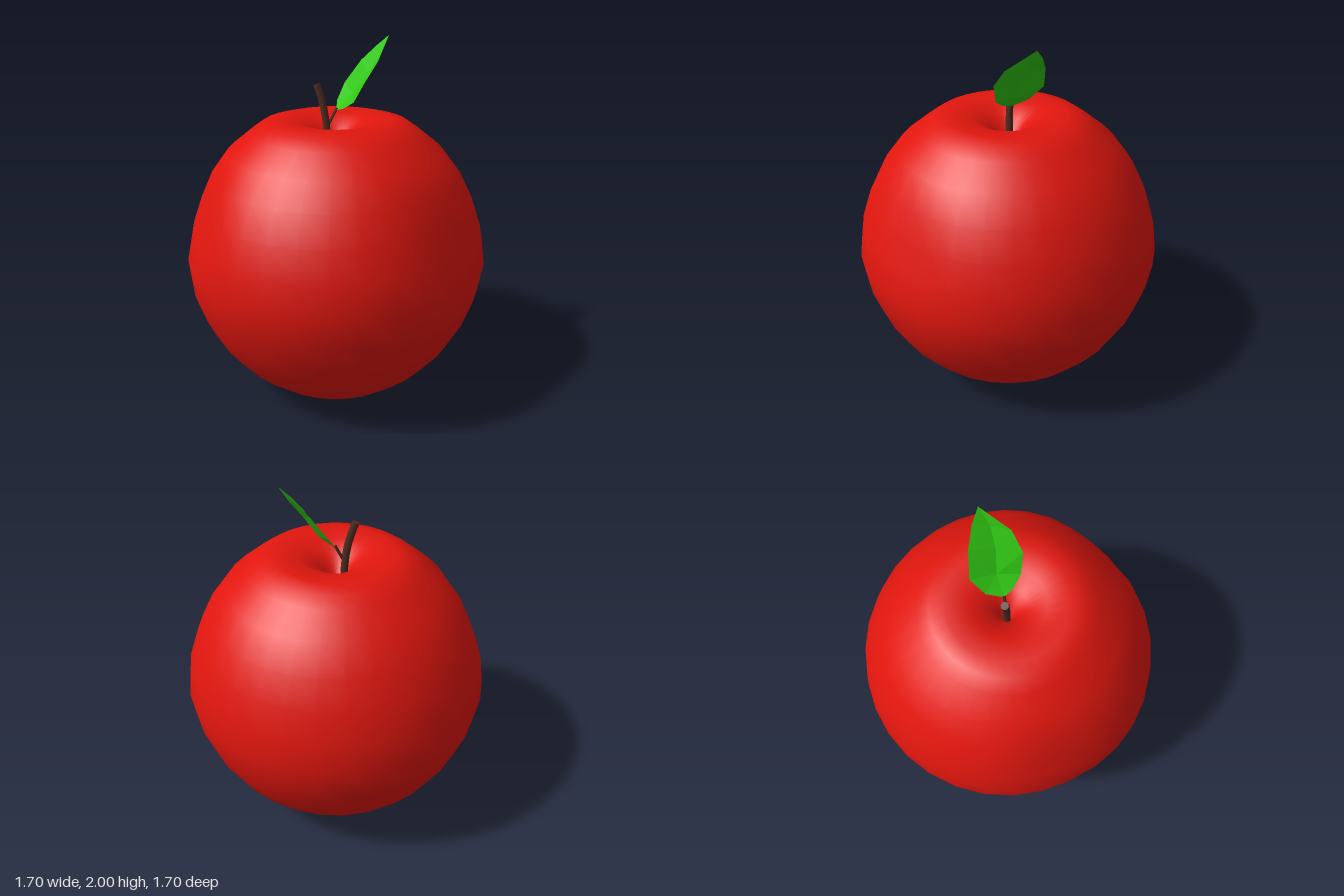
import * as THREE from 'three';
import { mergeVertices } from 'three/addons/utils/BufferGeometryUtils.js';

const V = (x, y, z) => new THREE.Vector3(x, y, z);

function part(name, geometry, color, options = {}) {
  const mesh = new THREE.Mesh(geometry, new THREE.MeshStandardMaterial({ color, ...options }));
  mesh.name = name;
  return mesh;
}

// Round body: a lathe with a dimple at both ends and two soft flat spots
function fruitGeometry() {
  const profile = [
    [0, 0.13], [0.05, 0.11], [0.1, 0.08], [0.2, 0.03], [0.32, 0.003], [0.45, 0.075], [0.58, 0.185],
    [0.69, 0.32], [0.77, 0.47], [0.825, 0.63], [0.85, 0.79], [0.825, 0.96], [0.77, 1.12],
    [0.695, 1.27], [0.595, 1.4], [0.465, 1.505], [0.4, 1.55], [0.32, 1.57], [0.2, 1.555],
    [0.1, 1.5], [0.04, 1.42], [0, 1.37],
  ].map(([r, y]) => new THREE.Vector2(r, y));
  let geo = new THREE.LatheGeometry(profile, 32);
  geo.deleteAttribute('normal');
  geo.deleteAttribute('uv');
  geo = mergeVertices(geo, 1e-4);

  const centre = V(0, 0.79, 0), p = V(0, 0, 0);
  const flatSpots = [V(-0.8, 0.33, 0.5).normalize(), V(0.8, 0.33, 0.5).normalize()];
  const pos = geo.attributes.position;
  for (let i = 0; i < pos.count; i++) {
    p.fromBufferAttribute(pos, i).sub(centre);
    const dir = p.clone().normalize();
    for (const spot of flatSpots) {
      p.addScaledVector(dir, -0.045 * Math.exp(-((dir.angleTo(spot) / 0.28) ** 2)));
    }
    p.add(centre);
    pos.setXYZ(i, p.x, p.y, p.z);
  }
  geo.computeVertexNormals();
  return geo;
}

// Leaf: rows of [front edge, midrib, back edge] between base and tip, folded along the midrib
function leafGeometry() {
  const base = [0, 1.61, -0.02], tip = [0.255, 2, -0.18];
  const rows = [
    [base, base, base],
    [[0.05, 1.63, 0.02], [0.03, 1.64, -0.04], [-0.015, 1.65, -0.11]],
    [[0.11, 1.67, 0.045], [0.08, 1.695, -0.07], [0.01, 1.735, -0.19]],
    [[0.17, 1.78, 0.045], [0.155, 1.805, -0.085], [0.1, 1.86, -0.205]],
    [[0.225, 1.88, -0.02], [0.22, 1.905, -0.12], [0.19, 1.945, -0.2]],
    [tip, tip, tip],
  ];
  const index = [];
  for (let r = 0; r < rows.length - 1; r++) {
    for (let c = 0; c < 2; c++) {
      const a = r * 3 + c, b = a + 1, d = a + 3, e = a + 4;
      if (r > 0) index.push(a, b, d);
      if (r === 0) index.push(a, e, d);
      else if (r < rows.length - 2) index.push(b, e, d);
    }
  }
  const geo = new THREE.BufferGeometry();
  geo.setAttribute('position', new THREE.Float32BufferAttribute(rows.flat(2), 3));
  geo.setIndex(index);
  geo.computeVertexNormals();
  return geo;
}

export function createModel() {
  const model = new THREE.Group();
  model.name = 'apple';
  const brown = 0x4f2c20;

  model.add(part('fruit', fruitGeometry(), 0xe0160e));

  // Curved stem with a flat cut end
  const stemPath = new THREE.CatmullRomCurve3([
    V(-0.04, 1.36, 0), V(-0.052, 1.55, 0), V(-0.073, 1.66, 0), V(-0.103, 1.75, 0),
  ]);
  model.add(part('stem', new THREE.TubeGeometry(stemPath, 6, 0.02, 8), brown));
  const cut = part('stemEnd', new THREE.CircleGeometry(0.02, 8), brown);
  cut.position.copy(stemPath.getPoint(1));
  cut.lookAt(cut.position.clone().add(stemPath.getTangent(1)));
  model.add(cut);

  // Thin stalk joining the leaf to the stem
  const stalkPath = new THREE.CatmullRomCurve3([
    V(-0.05, 1.51, 0), V(-0.022, 1.57, -0.01), V(0.004, 1.625, -0.022),
  ]);
  model.add(part('leafStalk', new THREE.TubeGeometry(stalkPath, 4, 0.008, 6), brown));

  model.add(part('leaf', leafGeometry(), 0x30c813, { side: THREE.DoubleSide, flatShading: true }));
  return model;
}
